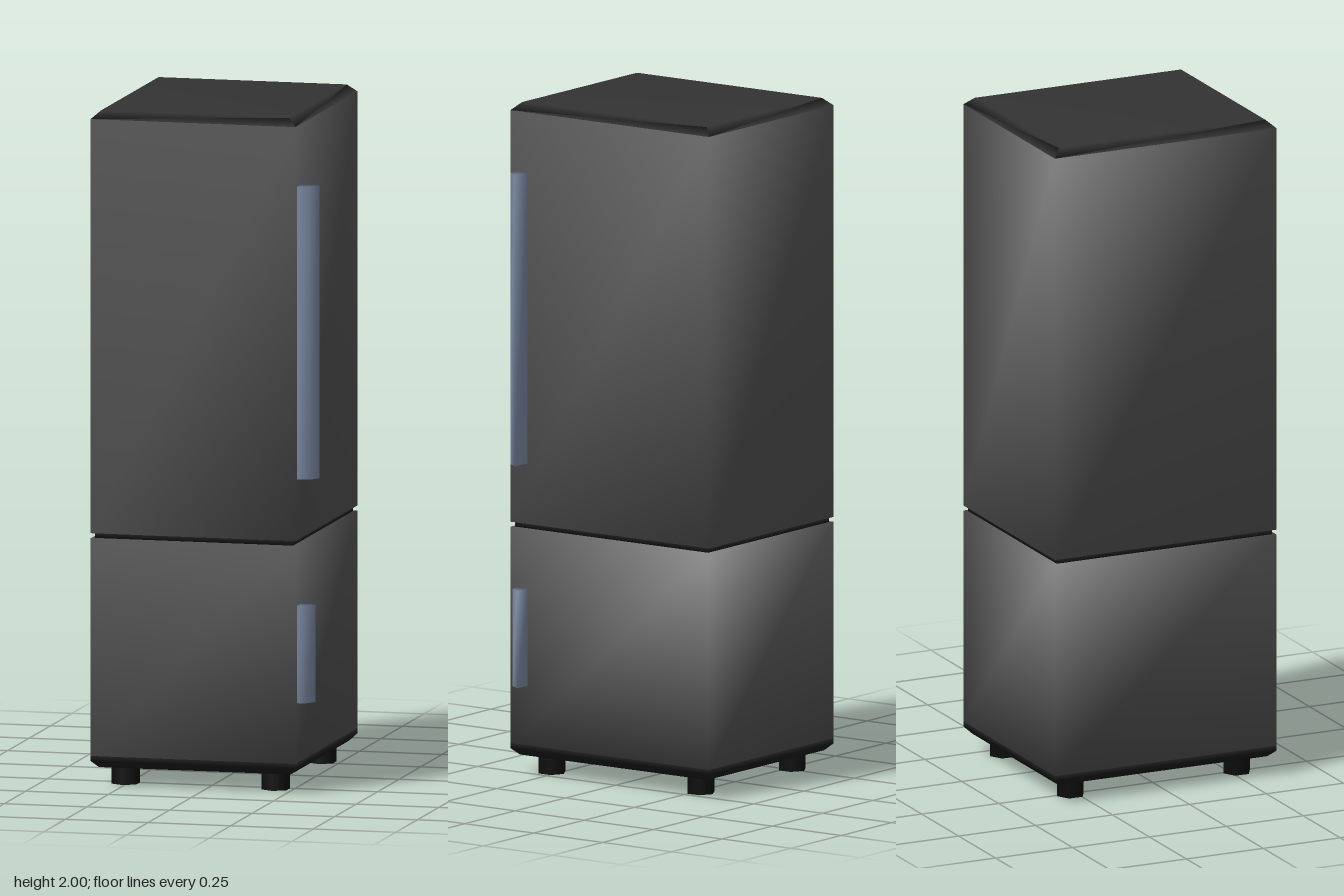
import * as THREE from 'three';

const material = (color) => new THREE.MeshStandardMaterial({ color });
const doorMat = material(0x555555);
const trimMat = material(0x333333);
const baseMat = material(0x1c1c1c);
const footMat = material(0x0c0c0c);
const handleMat = material(0x7d8ba5);

// Joins rings of [x, y, z] corners into one smooth skin, closed at both ends.
function loft(rings) {
  const n = rings[0].length;
  const last = (rings.length - 1) * n;
  const index = [];
  for (let r = 0; r < last; r += n) {
    for (let j = 0; j < n; j++) {
      const k = (j + 1) % n;
      index.push(r + j, r + k, r + n + k, r + j, r + n + k, r + n + j);
    }
  }
  for (let j = 1; j < n - 1; j++) {
    index.push(0, j + 1, j, last, last + j, last + j + 1);
  }
  const geometry = new THREE.BufferGeometry();
  geometry.setAttribute('position', new THREE.Float32BufferAttribute(rings.flat(2), 3));
  geometry.setIndex(index);
  geometry.computeVertexNormals();
  return geometry;
}

// Rectangular cross-section of the cabinet at height y, pulled in by inset.
function cabinetRing(y, inset = 0) {
  const x0 = -0.34 + inset, x1 = 0.28 - inset, z = 0.36 - inset;
  return [[x1, y, z], [x1, y, -z], [x0, y, -z], [x0, y, z]];
}

export function createModel() {
  const group = new THREE.Group();
  const add = (name, geometry, mat) => {
    const mesh = new THREE.Mesh(geometry, mat);
    mesh.name = name;
    group.add(mesh);
    return mesh;
  };

  // Cabinet, stacked from profile steps of [height, inset]
  const sections = [
    ['base', baseMat, [[0.055, 0.02], [0.075, 0], [0.09, 0]]],
    ['freezerDoor', doorMat, [[0.09, 0], [0.735, 0]]],
    ['doorGap', baseMat, [[0.735, 0.01], [0.75, 0.01]]],
    ['fridgeDoor', doorMat, [[0.75, 0], [1.977, 0]]],
    ['topPanel', trimMat, [[1.977, 0], [2, 0.025]]],
  ];
  for (const [name, mat, steps] of sections) {
    add(name, loft(steps.map(([y, inset]) => cabinetRing(y, inset))), mat);
  }

  // Wedge-shaped handles on the side, near the front edge
  const handles = [
    ['fridgeHandle', 0.93, 1.797, 0.338, 0.316],
    ['freezerHandle', 0.267, 0.556, 0.325, 0.306],
  ];
  for (const [name, bottom, top, tip, ridge] of handles) {
    const ring = (y) => [[0.275, y, 0.341], [ridge, y, 0.334], [tip, y, 0.303], [0.275, y, 0.297]];
    add(name, loft([ring(bottom), ring(top)]), handleMat);
  }

  // Six-sided feet
  const footGeometry = new THREE.CylinderGeometry(0.043, 0.043, 0.06, 6);
  for (const x of [-0.257, 0.197]) {
    for (const z of [-0.27, 0.27]) {
      add('foot', footGeometry, footMat).position.set(x, 0.03, z);
    }
  }

  return group;
}
